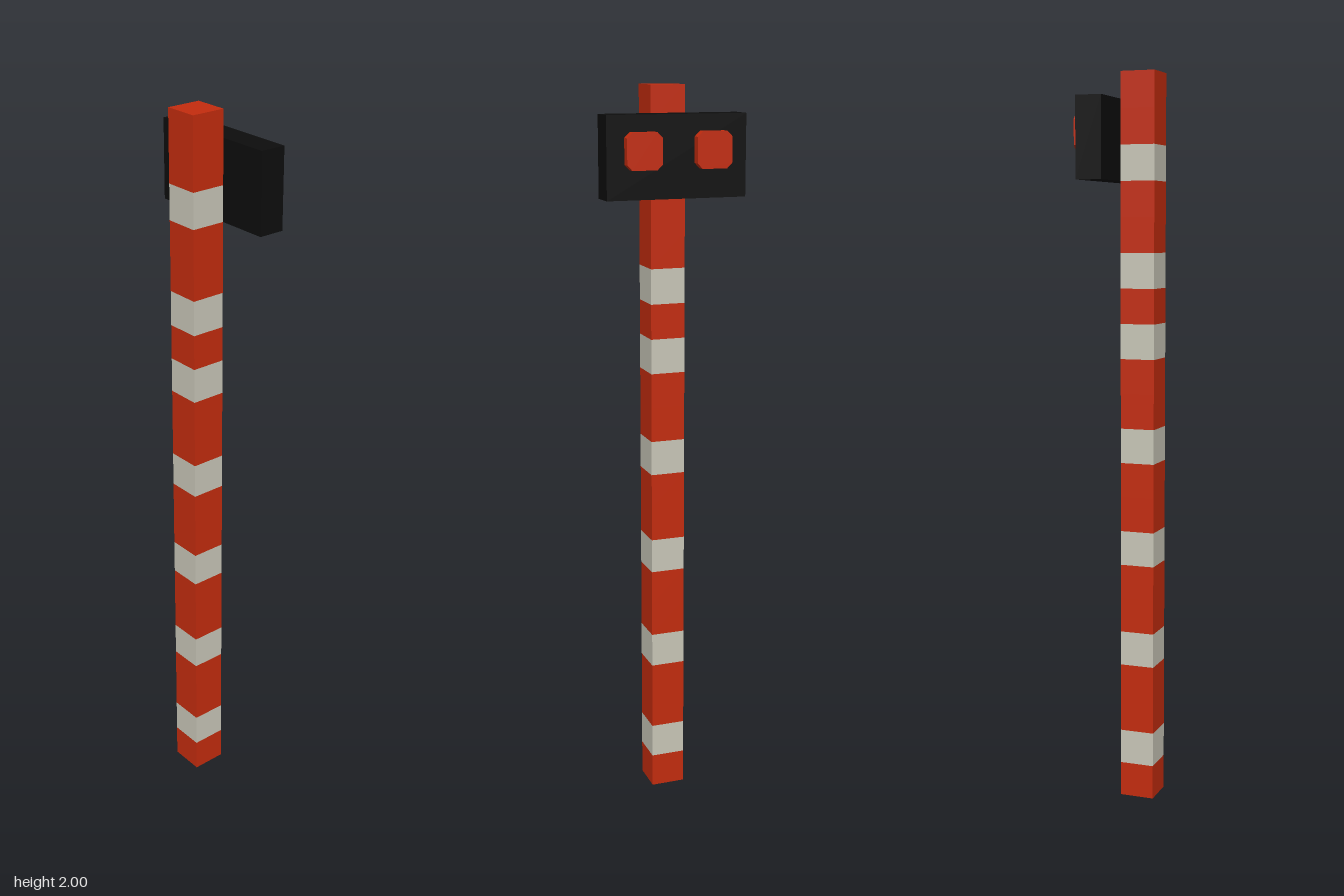
import * as THREE from 'three';

const U = 2 / 21; // post width and stripe module

export function createModel() {
  const model = new THREE.Group();
  const red = new THREE.MeshStandardMaterial({ color: 0xc42c0e });
  red.name = 'signalRed';
  const white = new THREE.MeshStandardMaterial({ color: 0xc9c7b8 });
  white.name = 'offWhite';
  const black = new THREE.MeshStandardMaterial({ color: 0x0d0d0d });
  black.name = 'black';

  const add = (name, geometry, material, x, y, z) => {
    const mesh = new THREE.Mesh(geometry, material);
    mesh.name = name;
    mesh.position.set(x, y, z);
    model.add(mesh);
  };

  // Striped square post: one box of 21 rows, each row coloured by its group
  const whiteRows = [1, 4, 7, 10, 13, 15, 18]; // counted from the ground
  const post = new THREE.BoxGeometry(U, 2, U, 1, 21, 1);
  const faces = post.groups.map((g) => ({ ...g }));
  post.clearGroups();
  for (const { start, count } of faces) {
    const rows = count / 6;
    for (let r = 0; r < rows; r++) {
      const isWhite = rows > 1 && whiteRows.includes(rows - 1 - r);
      post.addGroup(start + r * 6, 6, isWhite ? 1 : 0);
    }
  }
  add('stripedPost', post, [red, white], -U / 2, 1, 0);

  // Signal housing on the left side of the post
  const depth = U * 0.75;
  add('signalHousing', new THREE.BoxGeometry(depth, U * 2.25, U * 4), black, depth / 2, U * 19.125, 0);

  // Pair of lamps with clipped corners
  const h = U / 2, c = 0.014;
  const outline = new THREE.Shape([
    [h, -h + c], [h, h - c], [h - c, h], [-h + c, h],
    [-h, h - c], [-h, -h + c], [-h + c, -h], [h - c, -h],
  ].map(([x, y]) => new THREE.Vector2(x, y)));
  const lamp = new THREE.ExtrudeGeometry(outline, { depth: U * 0.25, bevelEnabled: false });
  lamp.rotateY(Math.PI / 2);
  for (const [name, side] of [['frontLamp', 1], ['backLamp', -1]]) {
    add(name, lamp, red, depth, U * 19.3, side * U);
  }
  return model;
}
